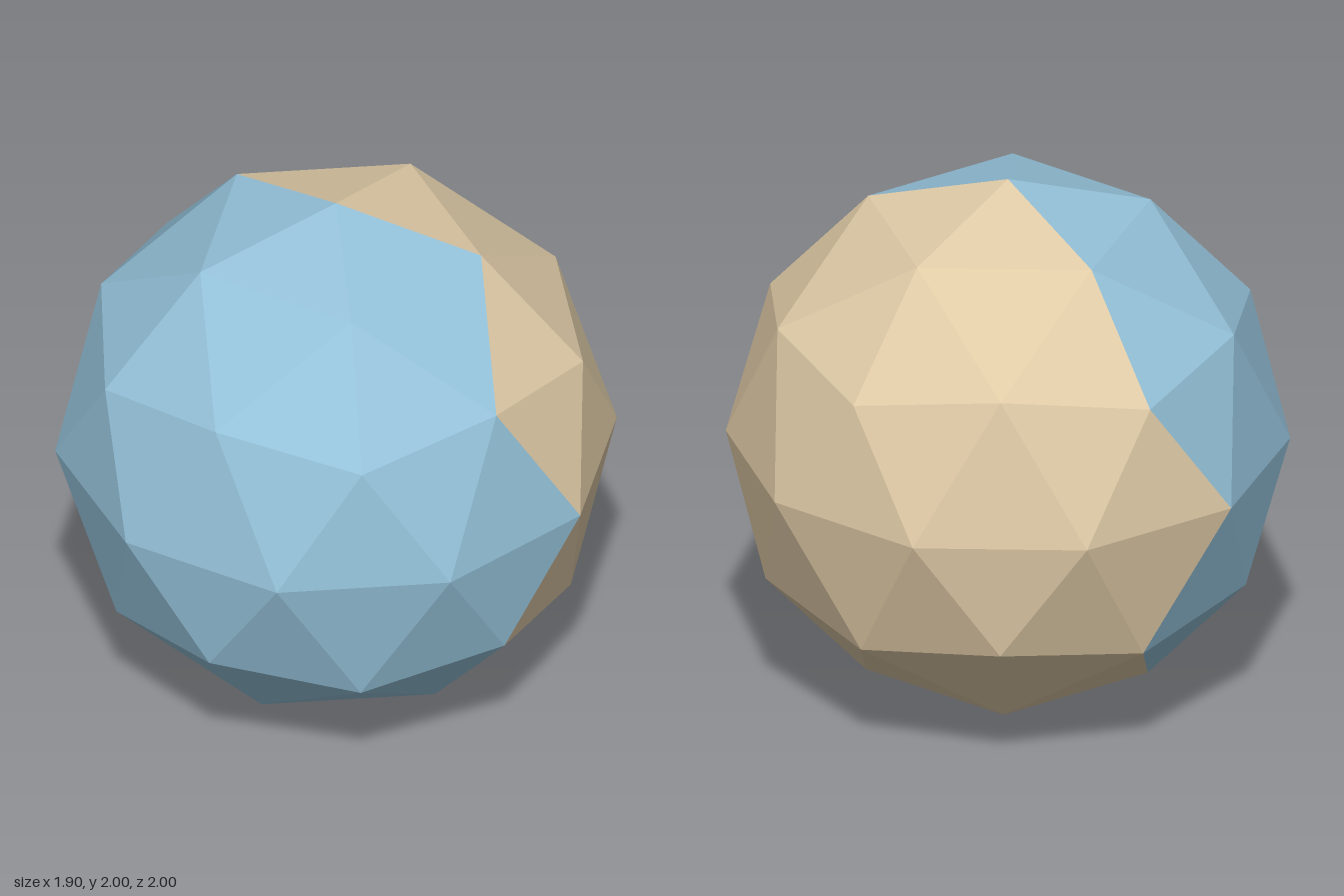
import * as THREE from 'three';

// Icosahedron with a corner straight up, each face split in four
function facetedBall() {
  const corners = [0, 1, 0];
  const ring = (height, offset) => {
    for (let i = 0; i < 5; i++) {
      const a = offset + (i * Math.PI * 2) / 5;
      corners.push(Math.cos(a) * 2 * 0.4472136, height, Math.sin(a) * 2 * 0.4472136);
    }
  };
  ring(0.4472136, 0);
  ring(-0.4472136, Math.PI / 5);
  corners.push(0, -1, 0);

  const faces = [];
  for (let i = 0; i < 5; i++) {
    const j = (i + 1) % 5;
    const u0 = 1 + i, u1 = 1 + j, l0 = 6 + i, l1 = 6 + j;
    faces.push(0, u1, u0, u1, l0, u0, l0, u1, l1, 11, l0, l1);
  }
  return new THREE.PolyhedronGeometry(corners, faces, 1, 1);
}

export function createModel() {
  const blue = new THREE.MeshStandardMaterial({ color: 0x94c1d9, flatShading: true });
  blue.name = 'soft blue';
  const sand = new THREE.MeshStandardMaterial({ color: 0xdfcaa6, flatShading: true });
  sand.name = 'sand';

  // Sort whole facets into two halves; the seam plane is turned 30 degrees about y
  const pos = facetedBall().getAttribute('position');
  const seam = new THREE.Vector3(-0.5, 0, Math.sqrt(0.75));
  const halves = { front: [], back: [] };
  const centre = new THREE.Vector3();
  const p = new THREE.Vector3();
  for (let f = 0; f < pos.count; f += 3) {
    const points = [];
    centre.set(0, 0, 0);
    for (let k = 0; k < 3; k++) {
      p.fromBufferAttribute(pos, f + k);
      centre.add(p);
      points.push(p.x, p.y, p.z);
    }
    halves[centre.dot(seam) > 0 ? 'front' : 'back'].push(...points);
  }

  const model = new THREE.Group();
  model.name = 'facetedBall';
  const addHalf = (name, points, material) => {
    const geometry = new THREE.BufferGeometry();
    geometry.setAttribute('position', new THREE.Float32BufferAttribute(points, 3));
    geometry.computeVertexNormals();
    const mesh = new THREE.Mesh(geometry, material);
    mesh.name = name;
    mesh.position.y = 1;
    model.add(mesh);
  };
  addHalf('frontHalf', halves.front, blue);
  addHalf('backHalf', halves.back, sand);
  return model;
}
